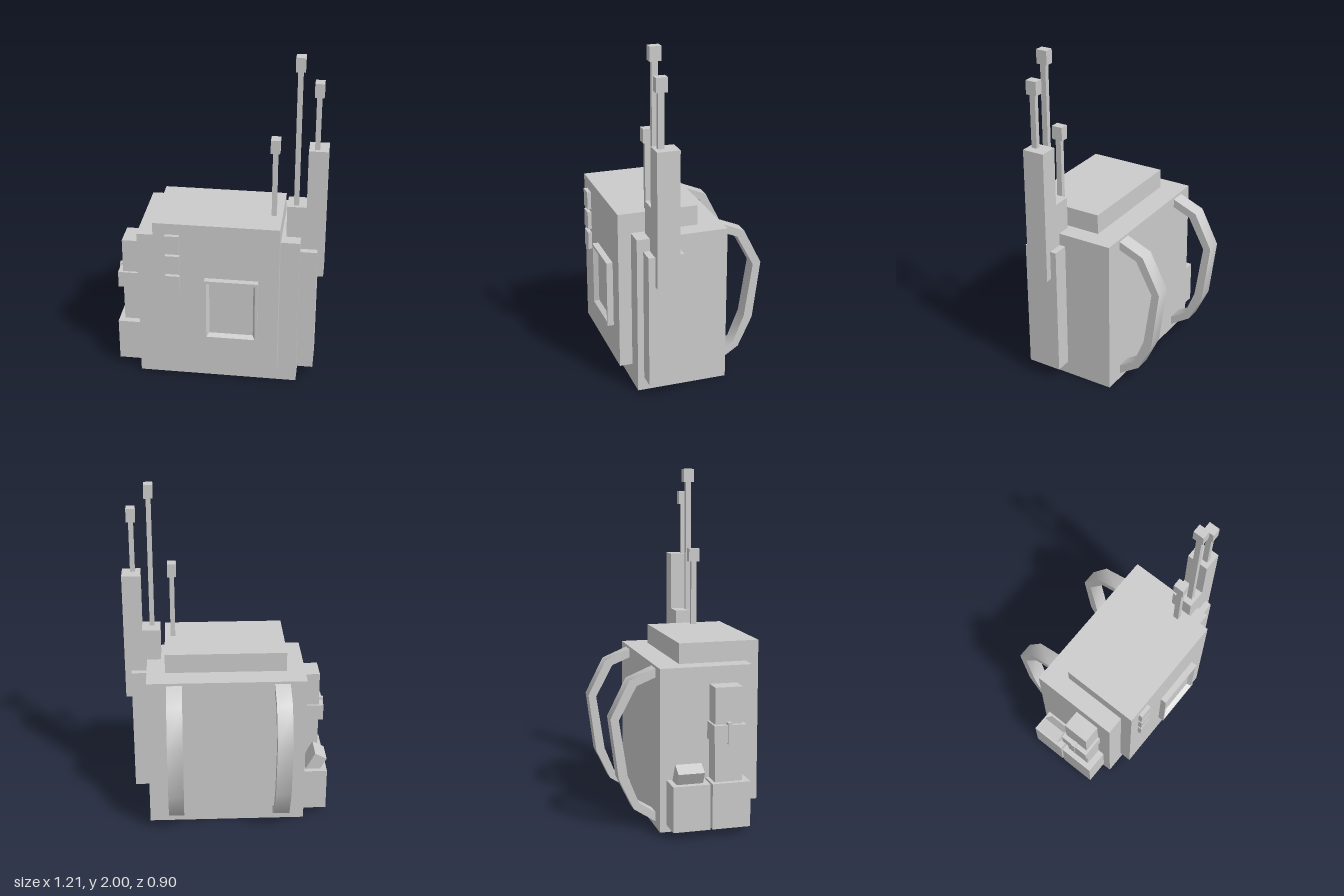
import * as THREE from 'three';
import { toCreasedNormals } from 'three/addons/utils/BufferGeometryUtils.js';

const material = new THREE.MeshStandardMaterial({ color: 0xcccccc });

export function createModel() {
  const model = new THREE.Group();

  const add = (name, geometry) => {
    const mesh = new THREE.Mesh(geometry, material);
    mesh.name = name;
    model.add(mesh);
    return mesh;
  };

  // Box given by its extents along each axis
  const box = (name, [x0, x1], [y0, y1], [z0, z1]) => {
    const mesh = add(name, new THREE.BoxGeometry(x1 - x0, y1 - y0, z1 - z0));
    mesh.position.set((x0 + x1) / 2, (y0 + y1) / 2, (z0 + z1) / 2);
    return mesh;
  };

  // Pack body and raised front case
  box('body', [-0.465, 0.47], [0, 0.935], [-0.193, 0.34]);
  box('frontCase', [-0.356, 0.361], [0.115, 1.052], [-0.053, 0.415]);

  // Column of buttons
  for (const y of [0.62, 0.75, 0.878]) {
    box('button', [-0.286, -0.205], [y, y + 0.107], [0.4, 0.438]);
  }

  // Screen: rectangular loops from back edge to rim to sunken floor
  add('screen', loftRectangles([
    [-0.062, 0.245, 0.322, 0.717, 0.41],
    [-0.062, 0.245, 0.322, 0.717, 0.452],
    [-0.05, 0.23, 0.343, 0.7, 0.452],
    [-0.035, 0.218, 0.357, 0.683, 0.424],
  ]));

  // Side panel and stepped radio
  box('sidePanel', [0.46, 0.566], [0.08, 0.862], [0.098, 0.303]);
  box('radioTower', [0.495, 0.604], [0.687, 1.472], [0.135, 0.265]);
  box('radioStep', [0.386, 0.495], [0.687, 1.126], [0.135, 0.265]);

  // Antennas with square tips
  for (const [x, base, top] of [[0.312, 1.04, 1.52], [0.436, 1.11, 2], [0.541, 1.46, 1.86]]) {
    box('antennaRod', [x - 0.014, x + 0.014], [base, top - 0.07], [0.209, 0.243]);
    box('antennaTip', [x - 0.026, x + 0.026], [top - 0.08, top], [0.192, 0.257]);
  }

  // Lower pouches, with a tilted tool in the rear one
  box('frontPouch', [-0.606, -0.46], [0.042, 0.302], [0.07, 0.29]);
  box('rearPouch', [-0.606, -0.46], [0.042, 0.302], [-0.155, 0.058]);
  const tool = box('tool', [-0.572, -0.492], [0.238, 0.398], [-0.125, 0.025]);
  tool.rotation.z = THREE.MathUtils.degToRad(28);

  // Upper canister with strap and clip
  box('canister', [-0.573, -0.46], [0.25, 0.836], [0.092, 0.25]);
  box('canisterStrap', [-0.601, -0.46], [0.528, 0.628], [0.08, 0.265]);
  box('strapClip', [-0.607, -0.57], [0.522, 0.642], [0.157, 0.18]);

  // Shoulder straps: bent band profile extruded sideways
  const outer = [[-0.18, 0.925], [-0.342, 0.858], [-0.45, 0.645], [-0.405, 0.296], [-0.32, 0.116], [-0.18, 0.025]];
  const inner = [[-0.18, 0.873], [-0.3, 0.825], [-0.402, 0.635], [-0.353, 0.308], [-0.288, 0.148], [-0.18, 0.08]];
  const profile = new THREE.Shape([...outer, ...inner.reverse()].map(p => new THREE.Vector2(...p)));
  const width = 0.091;
  const strap = toCreasedNormals(
    new THREE.ExtrudeGeometry(profile, { depth: width, bevelEnabled: false })
      .translate(0, 0, -width / 2).rotateY(-Math.PI / 2), 0.9);
  for (const x of [-0.321, 0.309]) add('shoulderStrap', strap).position.x = x;

  return model;
}

// Joins rectangles [x0, x1, y0, y1, z] with flat quads and closes the last one
function loftRectangles(rects) {
  const loops = rects.map(([x0, x1, y0, y1, z]) => [[x0, y0, z], [x1, y0, z], [x1, y1, z], [x0, y1, z]]);
  const positions = [];
  const quad = (a, b, c, d) => positions.push(...a, ...b, ...c, ...a, ...c, ...d);
  for (let i = 0; i < loops.length - 1; i++) {
    for (let j = 0; j < 4; j++) {
      const k = (j + 1) % 4;
      quad(loops[i][j], loops[i][k], loops[i + 1][k], loops[i + 1][j]);
    }
  }
  quad(...loops.at(-1));
  const geometry = new THREE.BufferGeometry();
  geometry.setAttribute('position', new THREE.Float32BufferAttribute(positions, 3));
  geometry.computeVertexNormals();
  return geometry;
}
